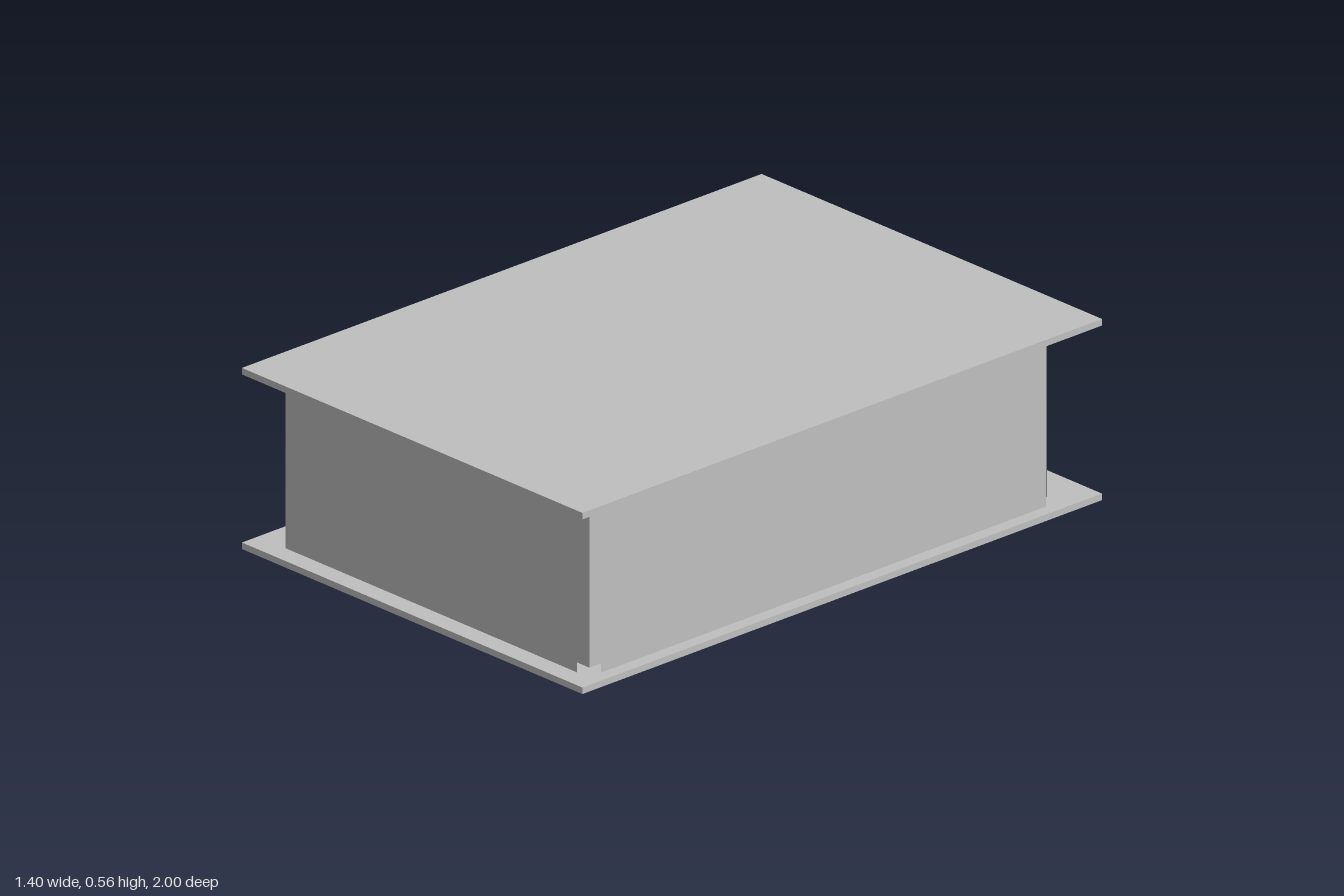
import * as THREE from 'three';

export function createModel() {
  const model = new THREE.Group();
  model.name = 'building';
  const grey = new THREE.MeshStandardMaterial({ color: 0xc0c0c0, side: THREE.DoubleSide });
  grey.name = 'light grey';

  const slab = 0.02, height = 0.555, gap = 0.048;
  const wallHeight = height - 2 * slab;

  // Floor and roof slabs
  for (const [name, y] of [['floorSlab', slab / 2], ['roofSlab', height - slab / 2]]) {
    const mesh = new THREE.Mesh(new THREE.BoxGeometry(1.4, slab, 2), grey);
    mesh.name = name;
    mesh.position.y = y;
    model.add(mesh);
  }

  // L-shaped room outline as [x, z], with a notch in the back corner
  const outline = [
    [-0.587, 0.89], [0.611, 0.89], [0.611, -0.823],
    [-0.303, -0.823], [-0.303, -0.6], [-0.587, -0.6],
  ];
  const sides = ['front', 'right', 'back', 'notchSide', 'notchBack', 'left'];

  // Each side has an inner wall sheet and a matching outer sheet, open at the corners
  outline.forEach(([ax, az], i) => {
    const [bx, bz] = outline[(i + 1) % outline.length];
    const length = Math.hypot(bx - ax, bz - az);
    const nx = -(bz - az) / length, nz = (bx - ax) / length;
    for (const [layer, offset] of [['InnerWall', 0], ['OuterWall', gap]]) {
      const wall = new THREE.Mesh(new THREE.PlaneGeometry(length, wallHeight), grey);
      wall.name = sides[i] + layer;
      wall.position.set((ax + bx) / 2 + nx * offset, height / 2, (az + bz) / 2 + nz * offset);
      wall.rotation.y = Math.atan2(nx, nz);
      model.add(wall);
    }
  });

  return model;
}
